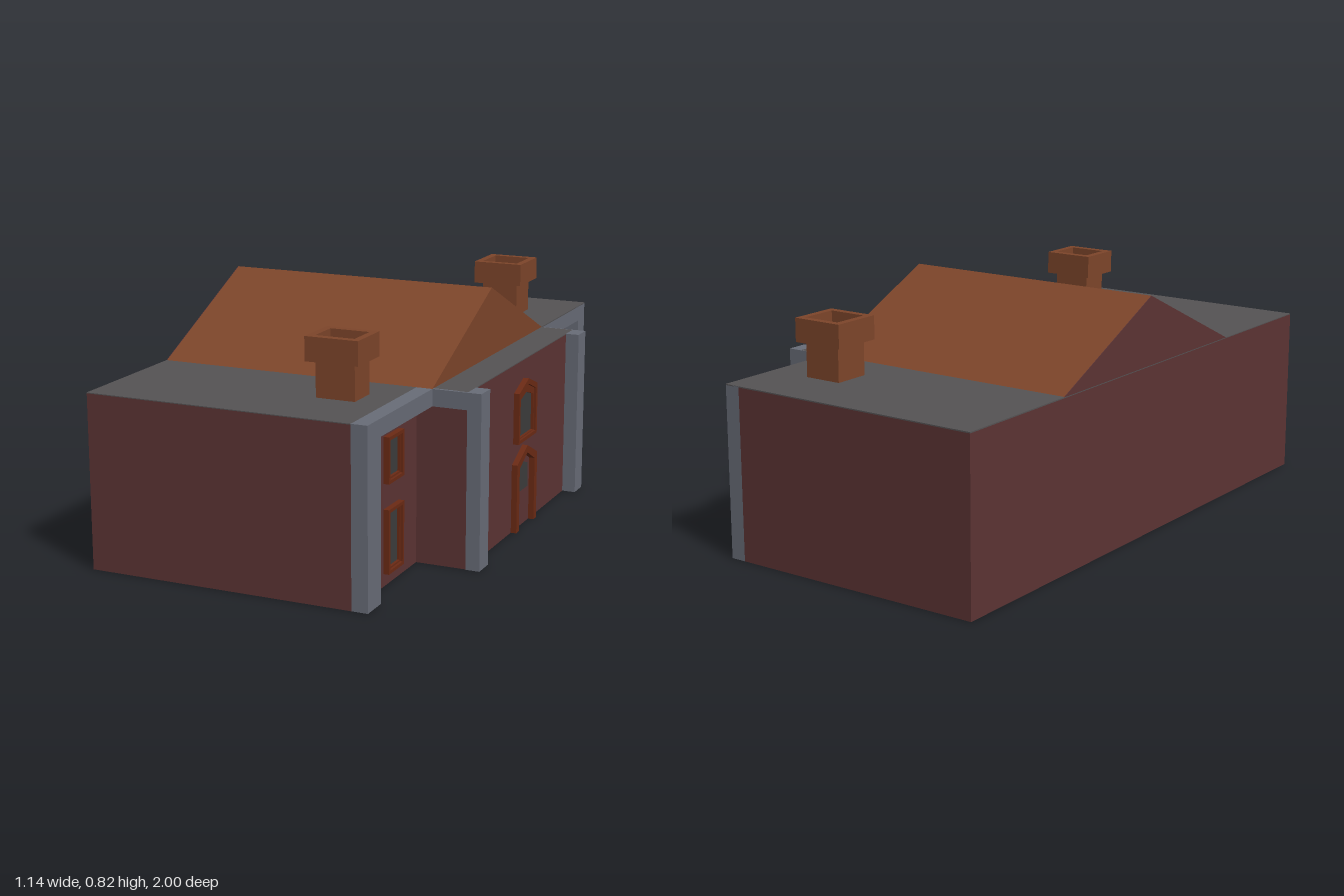
import * as THREE from 'three';

const mat = (color) => new THREE.MeshStandardMaterial({ color, flatShading: true });

export function createModel() {
  const house = new THREE.Group();
  house.name = 'house';
  const brick = mat(0x5c3434), stone = mat(0x686c77), flat = mat(0x555354),
    tile = mat(0x7d452a), trim = mat(0x6b2a14), glass = mat(0x3c3c3c);

  const add = (name, geometry, material, parent = house) => {
    const mesh = new THREE.Mesh(geometry, material);
    mesh.name = name;
    parent.add(mesh);
    return mesh;
  };

  // Box given by its lower and upper limits
  const box = (name, material, [x0, x1], [y0, y1], [z0, z1], parent) =>
    add(name, new THREE.BoxGeometry(x1 - x0, y1 - y0, z1 - z0)
      .translate((x0 + x1) / 2, (y0 + y1) / 2, (z0 + z1) / 2), material, parent);

  // Outline in [z, y], pushed out along +x from x0 to x1, with an optional hole
  const toShape = (pts) => pts.map(([z, y]) => new THREE.Vector2(-z, y));
  const slab = (name, material, pts, x0, x1, hole, parent) => {
    const shape = new THREE.Shape(toShape(pts));
    if (hole) shape.holes.push(new THREE.Path(toShape(hole)));
    const g = new THREE.ExtrudeGeometry(shape, { depth: x1 - x0, bevelEnabled: false });
    return add(name, g.rotateY(Math.PI / 2).translate(x0, 0, 0), material, parent);
  };

  // Rectangle, or with a pointed head when an apex height is given
  const outline = (half, y0, y1, apex, zc = 0) => {
    const pts = [[zc + half, y0], [zc - half, y0], [zc - half, y1]];
    if (apex) pts.push([zc, apex]);
    pts.push([zc + half, y1]);
    return pts;
  };

  const BACK = -0.57, WING = 0.347, EDGE = 0.402, FRONT = 0.521, TOP = 0.587;

  // Brick walls
  box('mainWalls', brick, [BACK, WING], [0, 0.584], [-1, 1]);
  box('entranceBlock', brick, [WING, FRONT], [0, 0.584], [-0.508, 0.508]);

  // Flat roofs
  box('flatRoofLeft', flat, [BACK, WING], [0.584, TOP], [0.508, 1]);
  box('flatRoofRight', flat, [BACK, EDGE], [0.584, TOP + 0.001], [-1, -0.508]);
  box('entranceRoof', flat, [BACK, FRONT], [0.584, TOP], [-0.508, 0.508]);

  // Stone corner piers, cornices and entrance pilasters
  for (const [s, inner] of [[1, 0.906], [-1, 0.93]]) {
    const span = (a, b) => (s > 0 ? [a, b] : [-b, -a]);
    box('cornerPier', stone, [WING, EDGE], [0, TOP], span(inner, 1));
    box('wingCornice', stone, [WING, EDGE], [0.53, TOP], span(0.508, inner));
    box('sideCornice', stone, [EDGE, FRONT], [0.53, TOP], span(0.5, 0.511));
    box('pilaster', stone, [FRONT, 0.569], [0, TOP], span(0.436, 0.511));
  }

  // Pitched roof with a brick gable at the back
  const gable = [[0.511, TOP], [-0.511, TOP], [0, 0.823]];
  slab('pitchedRoof', tile, gable, BACK + 0.002, EDGE);
  slab('backGable', brick, gable, BACK, BACK + 0.002);

  // Chimneys with a hollow cap
  const chimney = (zc, halfStem, halfCap) => {
    const g = new THREE.Group();
    g.name = 'chimney';
    house.add(g);
    box('chimneyStem', tile, [0.115, 0.249], [0.58, 0.735], [zc - halfStem, zc + halfStem], g);
    const rect = (x0, x1, h) => [[x0, -h], [x1, -h], [x1, h], [x0, h]].map((p) => new THREE.Vector2(...p));
    const cap = new THREE.Shape(rect(0.09, 0.272, halfCap));
    cap.holes.push(new THREE.Path(rect(0.115, 0.249, halfStem)));
    const geo = new THREE.ExtrudeGeometry(cap, { depth: 0.08, bevelEnabled: false });
    add('chimneyCap', geo.rotateX(-Math.PI / 2).translate(0, 0.706, zc), tile, g);
  };
  chimney(0.708, 0.054, 0.08);
  chimney(-0.719, 0.064, 0.088);

  // Framed opening: raised outer rim, lower inner rim and a pane
  const window = (name, x, outer, mid, inner) => {
    const g = new THREE.Group();
    g.name = name;
    house.add(g);
    slab('windowFrame', trim, outer, x, x + 0.02, mid, g);
    slab('innerFrame', trim, mid, x, x + 0.012, inner, g);
    slab('pane', glass, inner, x, x + 0.003, null, g);
  };

  // Two windows on each wing
  for (const [zc, half] of [[0.708, 0.058], [-0.718, 0.062]]) {
    for (const [y0, y1] of [[0.043, 0.254], [0.337, 0.488]]) {
      const ring = (d) => outline(half - d, y0 + d, y1 - d, 0, zc);
      window('wingWindow', WING, ring(0), ring(0.011), ring(0.017));
    }
  }

  // Pointed window over the door
  window('archedWindow', FRONT,
    outline(0.089, 0.31, 0.487, 0.522),
    outline(0.076, 0.322, 0.472, 0.503),
    outline(0.072, 0.325, 0.452, 0.474));

  // Door surround, open at the foot, with a glazed light in the door
  slab('doorSurround', trim, [
    [0.098, 0], [0.073, 0], [0.073, 0.222], [0, 0.262], [-0.073, 0.222], [-0.073, 0],
    [-0.098, 0], [-0.098, 0.24], [0, 0.287], [0.098, 0.24],
  ].reverse(), FRONT, FRONT + 0.02);
  slab('doorLight', glass, outline(0.051, 0.126, 0.211, 0.227), FRONT, FRONT + 0.003);

  return house;
}
